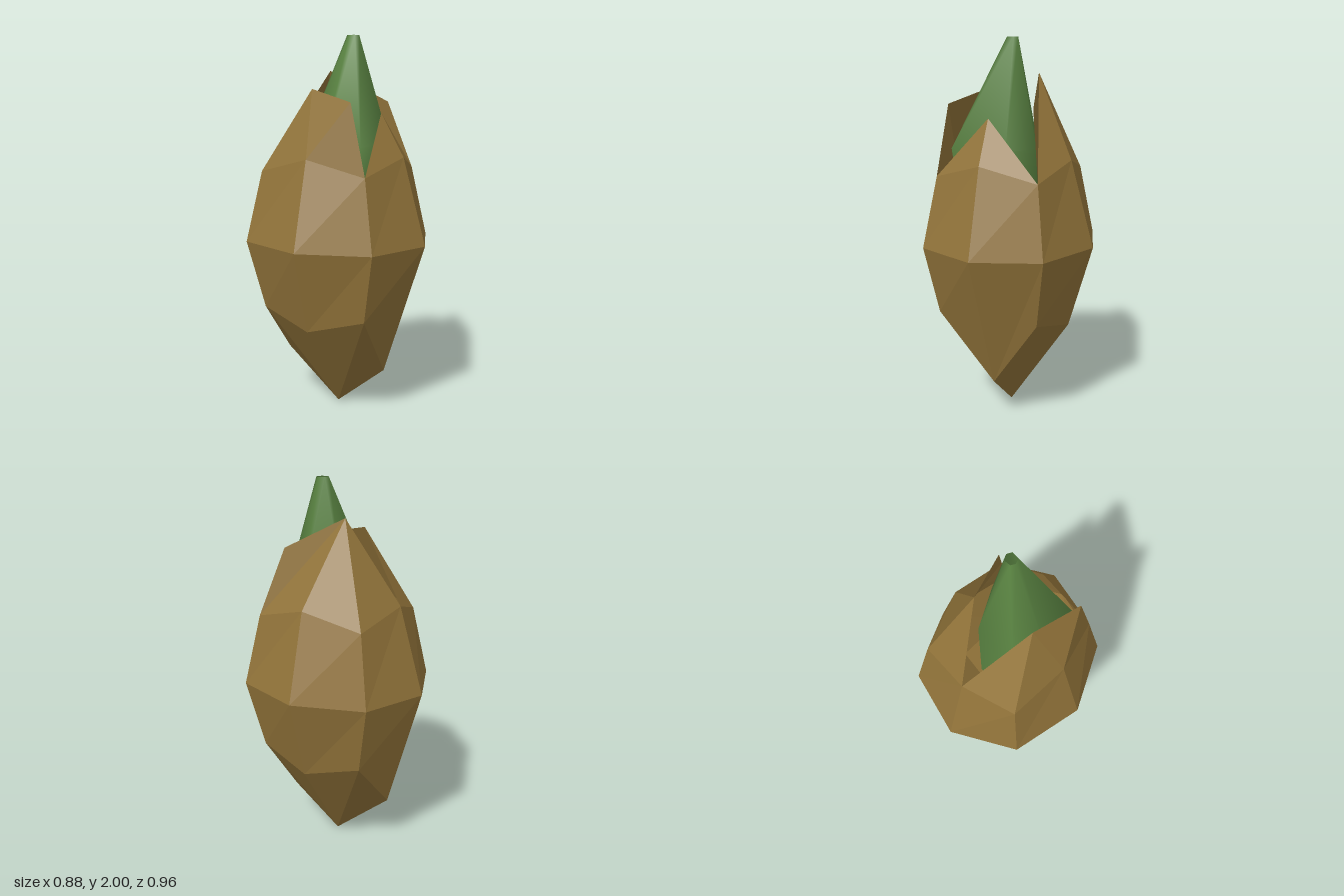
import * as THREE from 'three';

const huskMat = new THREE.MeshStandardMaterial({ color: 0x92743a, flatShading: true, side: THREE.DoubleSide });
huskMat.name = 'huskBrown';
const shootMat = new THREE.MeshStandardMaterial({ color: 0x5a8442, side: THREE.DoubleSide });
shootMat.name = 'shootGreen';

// Husk cross-sections: eight points each, counter-clockwise from the front
const foot = [0, 0, 0];
const lower = [
  [0.10, 0.22, 0.25], [0.35, 0.58, 0.20], [0.32, 0.50, -0.10], [0.18, 0.58, -0.37],
  [-0.10, 0.27, -0.30], [-0.35, 0.58, -0.20], [-0.32, 0.50, 0.10], [-0.18, 0.58, 0.37]];
const middle = [
  [0.15, 0.94, 0.48], [0.43, 0.94, 0.25], [0.44, 0.94, -0.14], [0.21, 0.94, -0.45],
  [-0.15, 0.94, -0.48], [-0.43, 0.94, -0.25], [-0.44, 0.94, 0.14], [-0.21, 0.94, 0.45]];
const upper = [
  [0.11, 1.39, 0.36], [0.355, 1.31, 0.205], [0.32, 1.39, -0.10], [0.175, 1.31, -0.37],
  [-0.11, 1.39, -0.35], [-0.35, 1.31, -0.21], [-0.32, 1.39, 0.10], [-0.18, 1.31, 0.37]];

// Petal tips
const frontTip = [0.065, 1.61, 0.245];
const rightTip = [0.25, 1.66, 0.12];
const backTip = [0.07, 1.82, -0.135];
const leftTip = [-0.185, 1.73, 0];
const leftFrontTip = [-0.185, 1.67, 0.275];

// Flat-shaded mesh from outward polygons, each fanned from its first corner
function facets(name, polygons) {
  const pos = [];
  for (const p of polygons) {
    for (let i = 1; i < p.length - 1; i++) pos.push(...p[0], ...p[i], ...p[i + 1]);
  }
  const geo = new THREE.BufferGeometry();
  geo.setAttribute('position', new THREE.Float32BufferAttribute(pos, 3));
  geo.computeVertexNormals();
  const mesh = new THREE.Mesh(geo, huskMat);
  mesh.name = name;
  return mesh;
}

// Smooth open tube through matching rings, listed bottom to top
function smoothTube(name, rings) {
  const n = rings[0].length, index = [];
  for (let r = 0; r < rings.length - 1; r++) {
    for (let i = 0; i < n; i++) {
      const j = (i + 1) % n, a = r * n + i, b = r * n + j;
      index.push(a, b, b + n, a, b + n, a + n);
    }
  }
  const geo = new THREE.BufferGeometry();
  geo.setAttribute('position', new THREE.Float32BufferAttribute(rings.flat(2), 3));
  geo.setIndex(index);
  geo.computeVertexNormals();
  const mesh = new THREE.Mesh(geo, shootMat);
  mesh.name = name;
  return mesh;
}

export function createModel() {
  const model = new THREE.Group();
  model.name = 'sproutingBulb';

  // Closed lower part of the husk
  const body = [];
  for (let i = 0; i < 8; i++) {
    const j = (i + 1) % 8;
    body.push([foot, lower[j], lower[i]]);
    body.push([lower[i], lower[j], middle[j], middle[i]]);
    body.push([middle[i], middle[j], upper[j], upper[i]]);
  }
  model.add(facets('husk', body));

  // Pointed petals above the husk
  const U = upper;
  model.add(facets('frontPetal', [[U[7], U[0], frontTip], [U[0], U[1], frontTip]]));
  model.add(facets('rightPetal', [[U[1], U[2], backTip, rightTip]]));
  model.add(facets('backPetal', [[U[2], U[3], backTip], [U[3], U[4], backTip]]));
  model.add(facets('backLeftPetal', [[U[4], U[5], leftTip], [U[5], U[6], leftTip]]));
  model.add(facets('leftPetal', [[U[6], U[7], leftFrontTip, leftTip]]));

  // Hollow six-sided shoot, leaning slightly and narrowing to an open tip
  const section = [[-0.14, 0.30], [0.155, 0.22], [0.205, 0.04], [0.07, -0.13], [-0.165, -0.09], [-0.185, 0.08]];
  const ring = (y, s, cx, cz) => section.map(([x, z]) => [cx + x * s, y, cz + (z - 0.07) * s]);
  const tip = section.map(([x, z]) => {
    const a = Math.atan2(x, z - 0.07);
    return [0.055 + 0.031 * Math.sin(a), 2, 0.052 + 0.031 * Math.cos(a)];
  });
  model.add(smoothTube('shoot', [ring(0.9, 0.85, 0, 0.03), ring(1.45, 1, 0, 0.07), tip]));

  return model;
}
